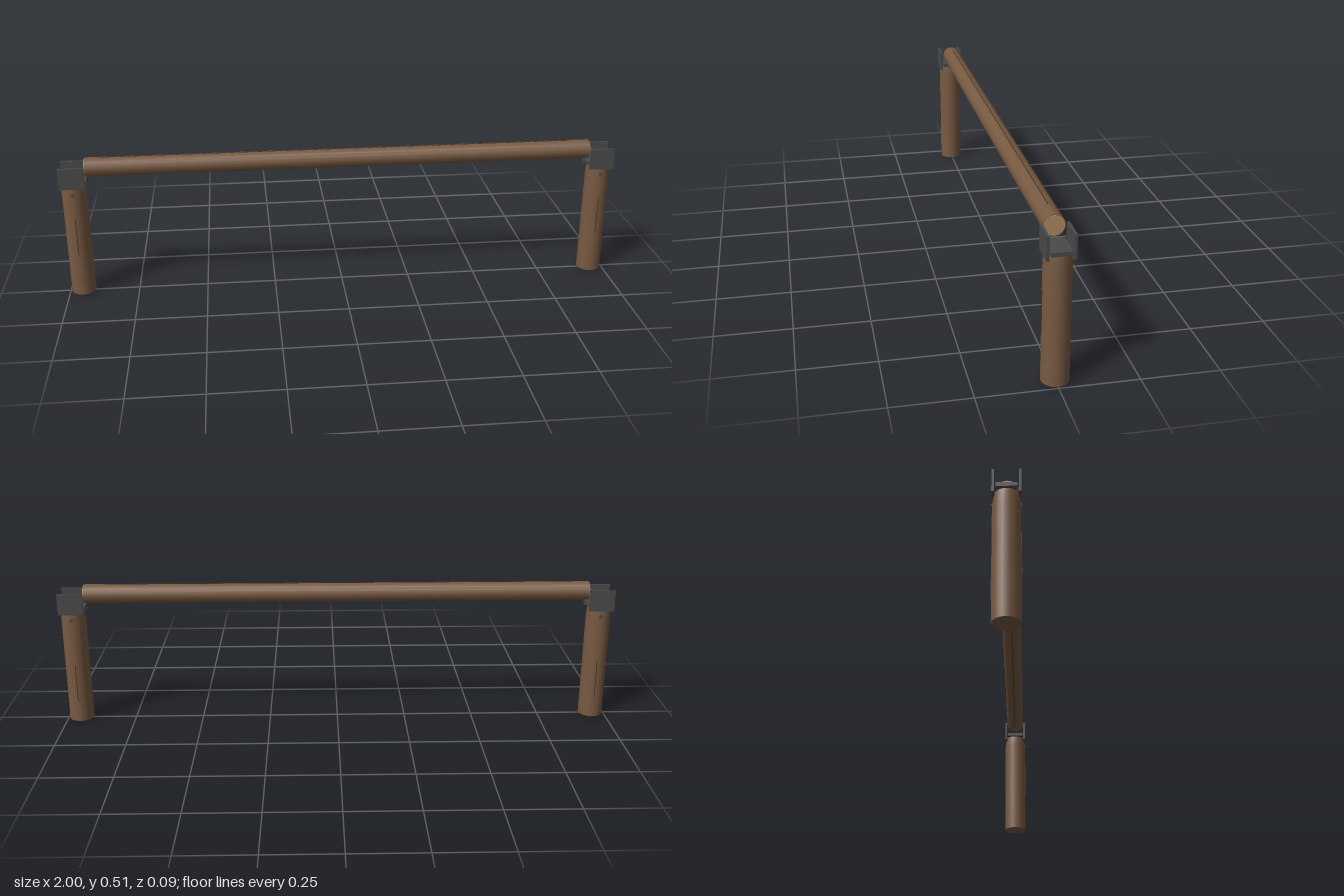
import * as THREE from 'three';

const mat = (name, color) => {
  const m = new THREE.MeshStandardMaterial({ color });
  m.name = name;
  return m;
};

export function createModel() {
  const wood = mat('brown wood', 0x785a42);
  const cutWood = mat('pale end grain', 0xb08c60);
  const grain = mat('dark grain', 0x4a3626);
  const metal = mat('dark metal', 0x4a4a4a);

  const model = new THREE.Group();
  model.name = 'railing';

  const add = (parent, name, geometry, material, x, y, z) => {
    const mesh = new THREE.Mesh(geometry, material);
    mesh.name = name;
    mesh.position.set(x, y, z);
    parent.add(mesh);
    return mesh;
  };

  // Horizontal rail, with slightly smaller pale discs on its cut ends
  const railY = 0.48, railR = 0.034, railHalf = 0.905;
  const rail = new THREE.Group();
  rail.name = 'rail';
  model.add(rail);
  const log = new THREE.CylinderGeometry(railR, railR, railHalf * 2, 16).rotateZ(Math.PI / 2);
  add(rail, 'railLog', log, wood, 0, railY, 0);
  for (const s of [-1, 1]) {
    const disc = new THREE.CylinderGeometry(0.032, 0.032, 0.003, 16).rotateZ(Math.PI / 2);
    add(rail, 'railEnd', disc, cutWood, s * (railHalf + 0.0005), railY, 0);
    // Thin grain lines along the top and bottom
    add(rail, 'railGrain', new THREE.BoxGeometry(1.68, 0.002, 0.003), grain, -0.01, railY + s * railR, 0);
  }

  // Post profile with a worn shoulder at the top
  const profile = [[0, 0], [0.042, 0], [0.0435, 0.002], [0.0435, 0.39], [0.039, 0.428], [0, 0.428]]
    .map(([r, y]) => new THREE.Vector2(r, y));

  for (const side of [-1, 1]) {
    const support = new THREE.Group();
    support.name = side > 0 ? 'leftSupport' : 'rightSupport';
    support.position.x = side * 0.951;
    model.add(support);

    const body = new THREE.LatheGeometry(profile.slice(2, 5), 24);
    add(support, 'post', body, wood, 0, 0, 0);
    add(support, 'postBase', new THREE.LatheGeometry(profile.slice(0, 3), 24), wood, 0, 0, 0);
    add(support, 'postTop', new THREE.LatheGeometry(profile.slice(4), 24), wood, 0, 0, 0);

    // U-shaped bracket: saddle plate and two cheeks
    add(support, 'saddlePlate', new THREE.BoxGeometry(0.098, 0.013, 0.064), metal, 0, 0.434, 0);
    for (const s of [-1, 1]) {
      add(support, 'cheekPlate', new THREE.BoxGeometry(0.09, 0.077, 0.008), metal, 0, 0.4515, s * 0.04);
      // Bolt heads under the bracket
      const bolt = new THREE.CylinderGeometry(0.007, 0.007, 0.006, 8).rotateX(Math.PI / 2);
      add(support, 'bolt', bolt, metal, 0, 0.392, s * 0.042);
      // Fine upright cracks in the post
      add(support, 'postGrain', new THREE.BoxGeometry(0.003, 0.14, 0.002), grain, 0, s > 0 ? 0.23 : 0.15, s * 0.0435);
    }
  }
  return model;
}
